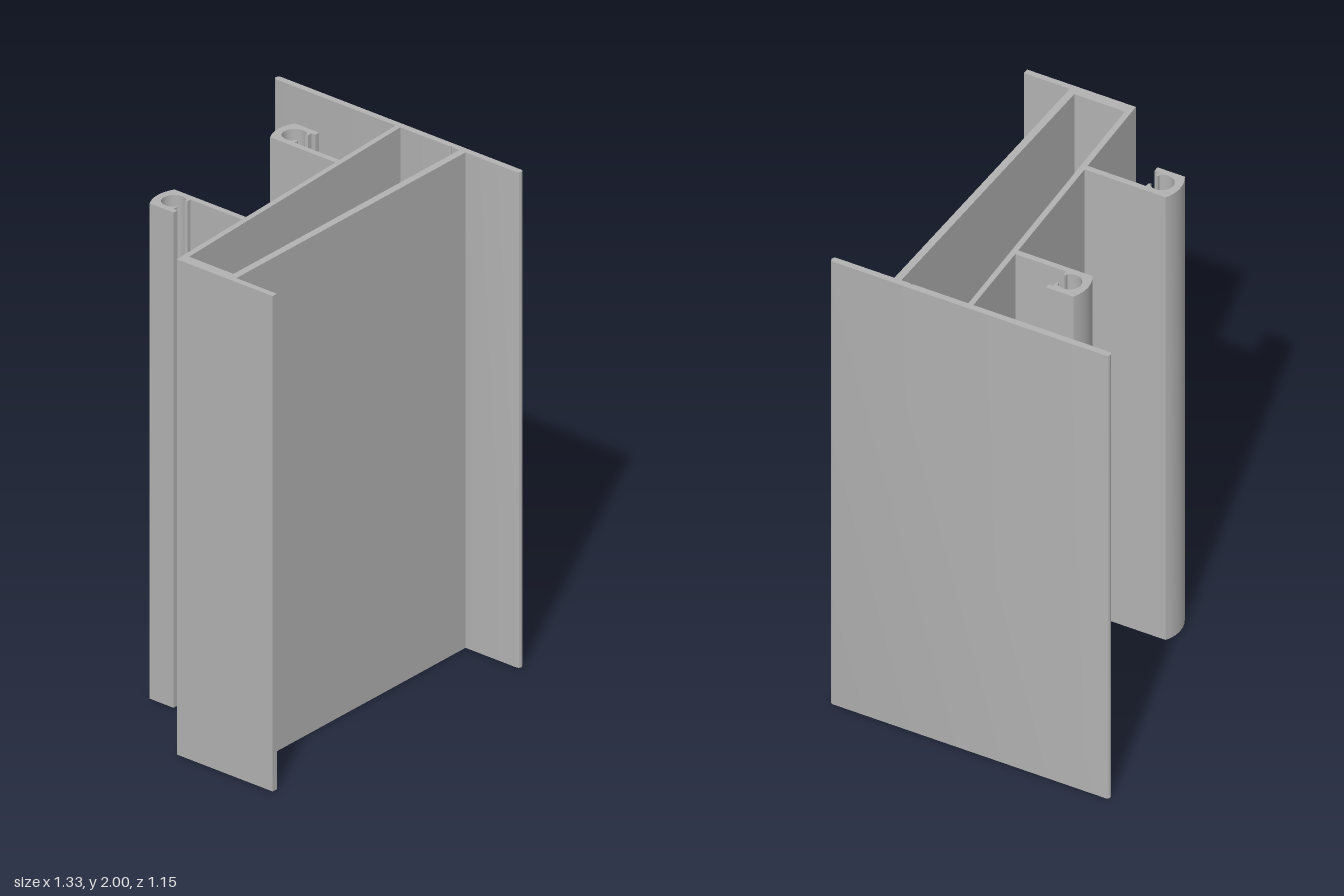
import * as THREE from 'three';
import { toCreasedNormals } from 'three/addons/utils/BufferGeometryUtils.js';

const HEIGHT = 2;

export function createModel() {
  const model = new THREE.Group();
  model.name = 'extrudedProfile';
  const aluminium = new THREE.MeshStandardMaterial({ color: 0xb2b2b2 });
  aluminium.name = 'aluminium grey';

  // Extrudes a plan outline of [x, z] points upwards from the ground
  const addPart = (name, outline) => {
    const shape = new THREE.Shape(outline.map(([x, z]) => new THREE.Vector2(x, -z)));
    const geometry = new THREE.ExtrudeGeometry(shape, { depth: HEIGHT, bevelEnabled: false });
    geometry.rotateX(-Math.PI / 2);
    const mesh = new THREE.Mesh(toCreasedNormals(geometry, 0.5), aluminium);
    mesh.name = name;
    model.add(mesh);
  };

  // Points along an arc in plan, angles in radians
  const arc = (cx, cz, rx, rz, from, to, steps) =>
    Array.from({ length: steps + 1 }, (_, i) => {
      const a = from + ((to - from) * i) / steps;
      return [cx + rx * Math.cos(a), cz + rz * Math.sin(a)];
    });

  // Back face of the slanted web
  const webBack = (x) => 0.065 - (0.068 * (x + 0.665)) / 1.302;

  // Long side flange with a rounded rear edge and a small groove
  addPart('sideFlange', [
    [0.637, 0.562], [0.637, 0.257], [0.643, 0.251], [0.637, 0.245],
    ...arc(0.65, -0.562, 0.013, 0.013, Math.PI, 2 * Math.PI, 8),
    ...arc(0.65, 0.562, 0.013, 0.012, 0, Math.PI, 4).slice(0, -1),
  ]);

  // Thick wall with the short front flange
  addPart('wallAndShortFlange', [
    [-0.665, 0.065], [-0.622, webBack(-0.622)], [-0.622, 0.323],
    [-0.641, 0.323], [-0.641, 0.513], [-0.665, 0.513],
  ]);

  // Webs closing the hollow chamber
  addPart('frontWeb', [[-0.622, 0.294], [0.637, 0.294], [0.637, 0.323], [-0.622, 0.323]]);
  addPart('rearWeb', [
    [-0.622, webBack(-0.622)], [0.637, webBack(0.637)], [0.637, 0.018], [-0.622, 0.086],
  ]);

  // Hooked screw channels on stems; side mirrors the hook
  const addHook = (name, cx, side) => {
    const at = (u) => cx + side * u;
    const outline = [
      [0.07, webBack(at(0.07))],
      [0.07, -0.29], [0.053, -0.299], [0.028, -0.307], [0, -0.31],
      [-0.028, -0.307], [-0.053, -0.299], [-0.07, -0.29],
      [-0.07, -0.178], [-0.049, -0.178], [-0.049, -0.196],
      [-0.028, -0.196], [-0.024, -0.205],
      ...arc(0, -0.235, 0.046, 0.046, Math.PI * 0.78, Math.PI * 2.22, 16),
      [0.024, -0.205], [0.028, -0.196], [0.046, -0.196],
      [0.046, webBack(at(0.046))],
    ];
    addPart(name, outline.map(([u, z]) => [at(u), z]));
  };
  addHook('rightHook', -0.324, 1);
  addHook('leftHook', 0.348, -1);

  return model;
}
